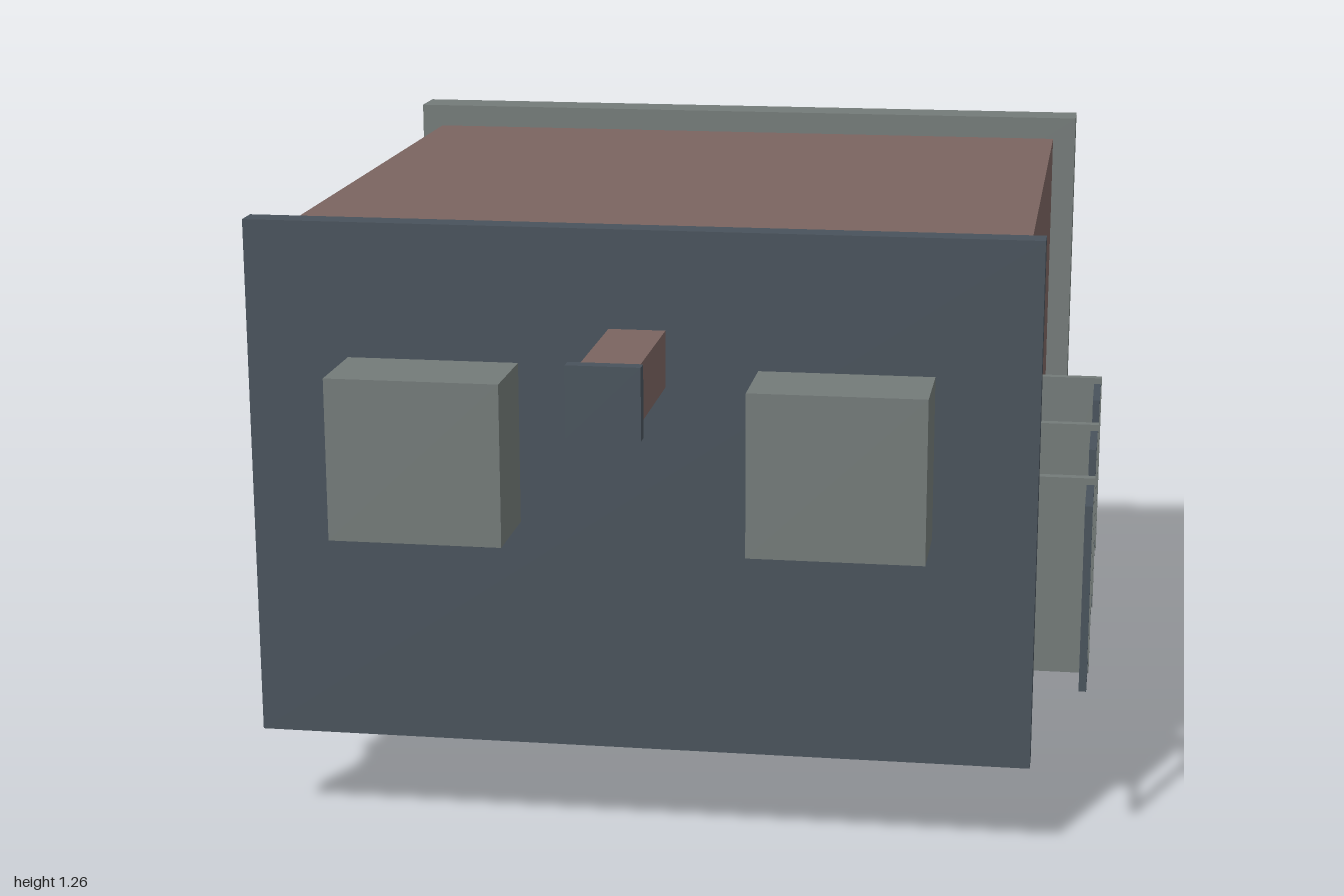
import * as THREE from 'three';

export function createModel() {
  const group = new THREE.Group();
  const material = (name, color) => {
    const m = new THREE.MeshStandardMaterial({ color });
    m.name = name;
    return m;
  };
  const brick = material('brick', 0x7a6460);
  const slate = material('slate', 0x48525b);
  const concrete = material('concrete', 0x737a78);
  const copper = material('copper', 0x8c663e);
  const glass = material('glass', 0x4a666c);

  // Box given by its low and high limits on each axis
  const box = (name, mat, [x0, x1], [y0, y1], [z0, z1]) => {
    const mesh = new THREE.Mesh(new THREE.BoxGeometry(x1 - x0, y1 - y0, z1 - z0), mat);
    mesh.position.set((x0 + x1) / 2, (y0 + y1) / 2, (z0 + z1) / 2);
    mesh.name = name;
    group.add(mesh);
    return mesh;
  };
  const around = (c, size) => [c - size / 2, c + size / 2];
  const floors = [0.365, -0.06, -0.485];
  const middle = -0.048;
  const wallY = 0.236;

  // Building block lying on its facade, with roof slab and foundation
  box('buildingBody', brick, [-0.797, 0.7], [wallY, 1.21], [-0.905, 0.58]);
  box('roofSlab', slate, [-0.83, 0.733], [0.195, 1.253], [0.578, 0.632]);
  box('foundation', concrete, [-0.845, 0.752], [0.19, 1.26], [-1, -0.903]);

  // Rooftop units with fan plates
  for (const x of [-0.455, 0.36]) {
    box('roofUnit', concrete, around(x, 0.342), [0.66, 0.983], [0.63, 0.813]);
    box('unitFan', slate, around(x, 0.245), [0.645, 0.66], [0.668, 0.773]);
  }

  // Chimney
  box('chimney', brick, [-0.104, 0.008], [0.945, 1.057], [0.63, 0.973]);
  box('chimneyCap', slate, [-0.118, 0.022], [0.932, 1.07], [0.972, 1]);

  // Floor ledges across the facade
  for (const z of floors) box('floorLedge', concrete, [-0.806, 0.71], [0.21, 0.24], around(z, 0.025));

  // Drainpipes, gutter outlets and wall lamps, mirrored about the facade's middle
  for (const side of [-1, 1]) {
    const pipe = new THREE.Mesh(new THREE.CylinderGeometry(0.01, 0.01, 1.48, 8), copper);
    pipe.rotation.x = Math.PI / 2;
    pipe.position.set(middle + side * 0.63, 0.222, -0.163);
    pipe.name = 'drainpipe';
    group.add(pipe);
    box('gutterOutlet', copper, around(middle + side * 0.63, 0.05), [0.208, 0.236], [0.56, 0.58]);
    box('wallLamp', copper, around(middle + side * 0.71, 0.04), [0.205, 0.236], around(-0.5, 0.025));
  }

  // Windows with frames and crossed bars; the middle of the ground floor has the door
  const addWindow = (x, z) => {
    const w = 0.19, h = 0.23, t = 0.015;
    const y = [0.22, wallY];
    box('windowGlass', glass, around(x, w), [0.228, wallY], around(z, h));
    for (const s of [-1, 0, 1]) {
      box('windowUpright', slate, around(x + s * (w - t) / 2, t), y, around(z, h));
      box('windowCrossbar', slate, around(x, w), y, around(z + s * (h - t) / 2, t));
    }
  };
  floors.forEach((floorZ, row) => {
    for (const offset of [-0.54, -0.18, 0.18, 0.54]) {
      if (row === 2 && Math.abs(offset) < 0.3) continue;
      addWindow(middle + offset, floorZ - 0.135);
    }
  });

  // Entrance
  box('door', slate, around(middle, 0.27), [0.203, wallY], [-0.905, -0.61]);
  box('doorCanopy', concrete, [-0.248, 0.155], [0, wallY], [-0.595, -0.56]);

  // Fire escape: landings with outer railings, joined by a pole
  for (const z of [0.455, 0.027, -0.398]) {
    box('escapeLanding', concrete, [0.7, 0.84], [0.342, 0.748], around(z, 0.02));
    for (const y of [0.365, 0.727]) box('railPost', slate, [0.823, 0.838], around(y, 0.015), [z, z + 0.165]);
    box('handRail', slate, [0.823, 0.838], [0.358, 0.735], [z + 0.15, z + 0.167]);
  }
  box('escapePole', copper, [0.814, 0.832], around(0.53, 0.018), [-0.398, 0.455]);

  return group;
}
